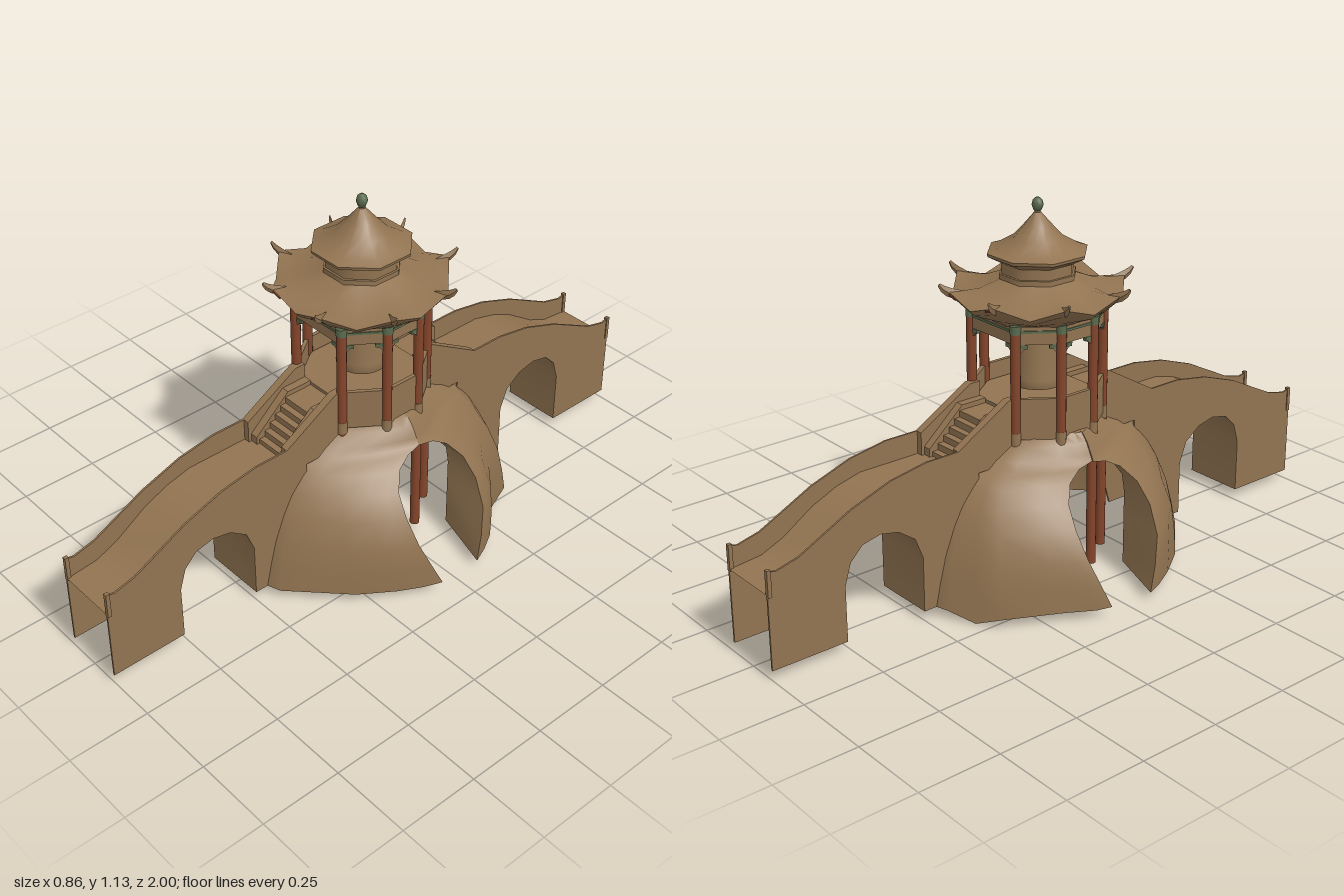
import * as THREE from 'three';
import { toCreasedNormals } from 'three/addons/utils/BufferGeometryUtils.js';

export function createModel() {
  const mat = (name, color) => new THREE.MeshStandardMaterial({ name, color, side: THREE.DoubleSide });
  const stone = mat('brown stone', 0x927451);
  const red = mat('red lacquer', 0x84452b);
  const green = mat('green paint', 0x5b6b4e);

  const root = new THREE.Group();
  root.name = 'bellPavilionBridge';

  const add = (name, geo, m, parent = root) => {
    const mesh = new THREE.Mesh(geo, m);
    mesh.name = name;
    parent.add(mesh);
    return mesh;
  };
  const group = (name, parent = root) => {
    const g = new THREE.Group();
    g.name = name;
    parent.add(g);
    return g;
  };

  // Skin through a stack of rings: closed and capped, or an open shell
  const loft = (rings, crease, open = false) => {
    const n = rings[0].length, pos = [], idx = [];
    rings.forEach((r) => r.forEach((p) => pos.push(...p)));
    for (let i = 0; i < rings.length - 1; i++) {
      for (let j = 0; j < (open ? n - 1 : n); j++) {
        const a = i * n + j, b = i * n + ((j + 1) % n);
        idx.push(a, a + n, b, b, a + n, b + n);
      }
    }
    (open ? [] : [0, rings.length - 1]).forEach((i) => {
      const c = [0, 1, 2].map((k) => rings[i].reduce((s, p) => s + p[k], 0) / n);
      const ci = pos.length / 3;
      pos.push(...c);
      for (let j = 0; j < n; j++) {
        const a = i * n + j, b = i * n + ((j + 1) % n);
        if (i) idx.push(a, ci, b); else idx.push(a, b, ci);
      }
    });
    const g = new THREE.BufferGeometry();
    g.setAttribute('position', new THREE.Float32BufferAttribute(pos, 3));
    g.setIndex(idx);
    return toCreasedNormals(g, crease);
  };

  // Band swept across x from a path of [z, y] points
  const strip = (path, w) => loft([w, -w].map((x) => path.map(([z, y]) => [x, y, z])), 0.6, true);

  // Plate drawn as [z, y] points and extruded from x0 to x0 + depth
  const plate = (pts, x0, depth) => {
    const shape = new THREE.Shape(pts.map(([z, y]) => new THREE.Vector2(-z, y)));
    const g = new THREE.ExtrudeGeometry(shape, { depth, bevelEnabled: false });
    return g.rotateY(Math.PI / 2).translate(x0, 0, 0);
  };

  // Hollow rock mound: two shells that meet over a tunnel; rows are y, half width, reach, tunnel half width
  const rows = [
    [0.03, 0.43, 0.46, 0.065], [0.1, 0.415, 0.445, 0.095], [0.18, 0.39, 0.425, 0.125],
    [0.26, 0.345, 0.395, 0.135], [0.32, 0.3, 0.365, 0.125], [0.365, 0.265, 0.335, 0.09],
    [0.39, 0.252, 0.315, 0.045], [0.4, 0.248, 0.3, 0], [0.42, 0.238, 0.275, 0],
    [0.45, 0.222, 0.215, 0], [0.475, 0.2, 0.16, 0], [0.478, 0.15, 0.11, 0],
  ];
  const frontPlan = [[1, 0], [0.95, 0.14], [0.86, 0.32], [0.7, 0.57], [0.5, 0.78], [0.33, 0.96], [0.22, 1]];
  const backLeft = [[1, 0.03], [0.95, 0.16], [0.87, 0.31], [0.67, 0.54], [0.57, 0.8], [0.35, 0.94], [0.22, 1]];
  const backRight = [[0.98, 0.03], [0.95, 0.15], [0.84, 0.35], [0.65, 0.76], [0.48, 0.85], [0.32, 0.97], [0.22, 1]];
  const shell = (name, left, right, s) => {
    const plan = [...left, ...right.slice().reverse().map(([x, z]) => [-x, z])];
    const rings = rows.map(([y, w, reach, gap], i) => {
      const ring = plan.map(([px, pz], j) => {
        const spur = s < 0 && i === 0 && j === 9; // one point of the back rim hangs lower
        return [px * w, spur ? 0 : y, s * (gap + (gap ? pz : Math.max(0, pz - 0.03)) * (reach - gap))];
      });
      // lips that turn in from the tunnel mouths
      const lip = (side) => [side * Math.min(0.235, w * 0.95), y, s * (y < 0.3 ? 0.135 : gap)];
      return [lip(1), ...ring, lip(-1)];
    });
    add(name, loft(rings, 0.8, true), stone);
  };
  shell('frontRock', frontPlan, frontPlan, 1);
  shell('backRock', backLeft, backRight, -1);

  // Bridges with a stair up to the pavilion; the back one is the front one turned round
  const rail = [[1, 0.325], [0.97, 0.318], [0.9, 0.335], [0.8, 0.385], [0.73, 0.42], [0.6, 0.465], [0.48, 0.485], [0.37, 0.485]];
  const deck = [[1, 0.255], [0.9, 0.265], [0.83, 0.295], [0.73, 0.36], [0.65, 0.395], [0.57, 0.415], [0.25, 0.415]];
  const arch = [[0.76, 0.03], [0.76, 0.2], [0.74, 0.265], [0.7, 0.305], [0.64, 0.318], [0.58, 0.305], [0.525, 0.265], [0.5, 0.2], [0.5, 0.03]];
  for (const turn of [0, Math.PI]) {
    const b = group(turn ? 'backBridge' : 'frontBridge');
    const side = [[1, 0.03], ...rail, [0.3, 0.45], [0.3, 0.3], [0.38, 0.03], ...arch.slice().reverse()];
    for (const s of [1, -1]) {
      add('bridgeSide', plate(side, s > 0 ? 0.094 : -0.1, 0.006), stone, b);
      add('endPost', new THREE.BoxGeometry(0.012, 0.08, 0.012).translate(s * 0.097, 0.288, 0.994), stone, b);
      add('stairWall', plate([[0.37, 0.4], [0.37, 0.485], [0.19, 0.59], [0.155, 0.59], [0.155, 0.4]],
        s > 0 ? 0.075 : -0.1, 0.025), stone, b);
      add('stairKerb', plate([[0.36, 0.4], [0.36, 0.44], [0.24, 0.545], [0.155, 0.545], [0.155, 0.4]],
        s > 0 ? 0.05 : -0.078, 0.028), stone, b);
    }
    add('deck', strip(deck, 0.097), stone, b);
    add('archSoffit', strip(arch, 0.097), stone, b);
    for (let i = 0; i < 6; i++) {
      const h = 0.02 * (i + 1);
      add('step', new THREE.BoxGeometry(0.11, h, 0.2 - i * 0.02).translate(0, 0.41 + h / 2, 0.25 - i * 0.01), stone, b);
    }
    b.rotation.y = turn;
  }

  // Eight columns running down through the hollow rock to the ground
  const posts = [[0.175, 0.06], [0.1, 0.165], [-0.1, 0.165], [-0.175, 0.06],
    [-0.175, -0.06], [-0.1, -0.165], [0.1, -0.165], [0.175, -0.06]];
  const cyl = (r, y0, y1, x, z) => new THREE.CylinderGeometry(r, r, y1 - y0, 12).translate(x, (y0 + y1) / 2, z);
  const pavilion = group('pavilion');
  posts.forEach(([x, z]) => {
    add('column', cyl(0.015, 0.03, 0.79, x, z), red, pavilion);
    add('columnFoot', cyl(0.0158, 0.45, 0.488, x, z), stone, pavilion);
    add('columnCapital', cyl(0.0162, 0.785, 0.81, x, z), green, pavilion);
  });

  // Floor
  add('floor', loft([0.45, 0.54].map((y) => posts.map(([x, z]) => [x * 0.94, y, z * 0.94])), 0.3), stone, pavilion);

  // Railings and arched friezes between neighbouring columns
  posts.forEach(([x, z], i) => {
    const [x2, z2] = posts[(i + 1) % 8];
    const len = Math.hypot(x2 - x, z2 - z), h = len / 2;
    const bay = group('bay', pavilion);
    bay.position.set((x + x2) / 2, 0, (z + z2) / 2);
    bay.rotation.y = -Math.atan2(z2 - z, x2 - x);
    const frieze = new THREE.Shape([[-h, 0.805], [-h, 0.715], [-h + 0.02, 0.735], [-h + 0.035, 0.753],
      [h - 0.035, 0.753], [h - 0.02, 0.735], [h, 0.715], [h, 0.805]].map((p) => new THREE.Vector2(...p)));
    add('frieze', new THREE.ExtrudeGeometry(frieze, { depth: 0.01, bevelEnabled: false }).translate(0, 0, -0.005), stone, bay);
    add('tieBeam', new THREE.BoxGeometry(len, 0.007, 0.016).translate(0, 0.791, 0), green, bay);
    for (const s of [1, -1]) {
      add('bracket', new THREE.BoxGeometry(0.02, 0.012, 0.014).translate(s * (h - 0.024), 0.747, 0), green, bay);
    }
    if (i !== 1 && i !== 5) {
      add('railing', new THREE.BoxGeometry(len, 0.125, 0.012).translate(0, 0.528, 0), stone, bay);
    }
  });

  // Two-tier octagonal roof; corners lift above the middles of the eaves
  const oct = (r, yCorner, yMid = yCorner) => Array.from({ length: 16 }, (_, k) => {
    const a = (k + 1) * Math.PI / 8, corner = k % 2 === 0;
    const rr = corner ? r : r * Math.cos(Math.PI / 8);
    return [Math.cos(a) * rr, corner ? yCorner : yMid, Math.sin(a) * rr];
  });
  add('roof', loft([
    oct(0.185, 0.8), oct(0.215, 0.822, 0.812), oct(0.25, 0.855, 0.826), oct(0.265, 0.876, 0.842),
    oct(0.225, 0.873, 0.852), oct(0.17, 0.877, 0.868), oct(0.115, 0.898), oct(0.115, 0.913), oct(0.109, 0.914),
    oct(0.109, 0.945), oct(0.148, 0.966), oct(0.15, 0.975), oct(0.125, 0.983), oct(0.075, 1.012),
    oct(0.04, 1.05), oct(0.01, 1.085),
  ], 0.8), stone, pavilion);

  // Upturned horns at the eave corners
  for (let k = 0; k < 8; k++) {
    const horn = [[0.235, 0.012, 0.862], [0.262, 0.011, 0.872], [0.28, 0.008, 0.884], [0.291, 0.004, 0.897]]
      .map(([r, t, y]) => [[r - t, y + t, 0], [r, y, t * 0.6], [r + t * 0.6, y - t, 0], [r, y, -t * 0.6]]);
    add('horn', loft(horn, 0.6), stone, pavilion).rotation.y = Math.PI / 8 + k * Math.PI / 4;
  }

  // Thin red battens on the front and back eaves, beside the corners
  for (const sx of [1, -1]) {
    for (const sz of [1, -1]) {
      const batten = add('batten', new THREE.BoxGeometry(0.032, 0.005, 0.008), red, pavilion);
      batten.position.set(sx * 0.083, 0.863, sz * 0.241);
      batten.rotation.z = sx * 0.3;
    }
  }

  // Finial
  const lathe = (pts, n) => new THREE.LatheGeometry(pts.map((p) => new THREE.Vector2(...p)), n);
  add('finialNeck', cyl(0.009, 1.07, 1.092, 0, 0), stone, pavilion);
  add('finial', lathe([[0, 1.088], [0.011, 1.09], [0.017, 1.106], [0.014, 1.12], [0.007, 1.127], [0, 1.128]], 10), green, pavilion);

  // Hanging bell
  add('bell', lathe([[0.068, 0.58], [0.077, 0.575], [0.073, 0.6], [0.068, 0.66], [0.064, 0.72], [0.06, 0.75], [0.05, 0.775], [0, 0.785]], 24), stone, pavilion);
  add('bellHanger', cyl(0.015, 0.78, 0.81, 0, 0), stone, pavilion);

  return root;
}
